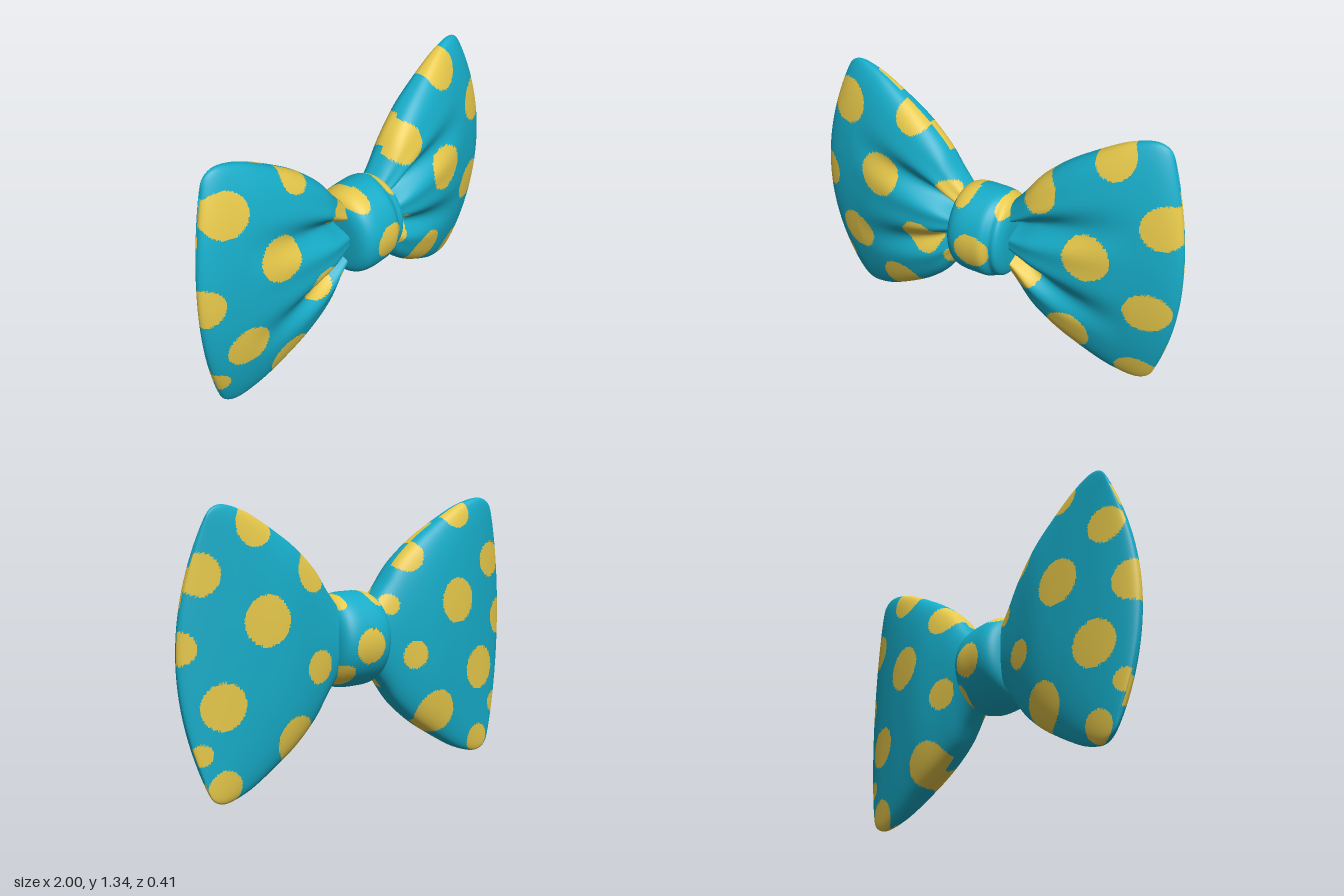
import * as THREE from 'three';
import { mergeVertices } from 'three/addons/utils/BufferGeometryUtils.js';

const fabric = new THREE.MeshStandardMaterial({ color: 0x16acc8 });
fabric.name = 'teal fabric';
const spot = new THREE.MeshStandardMaterial({ color: 0xe6c84a });
spot.name = 'yellow spot';

const MID = 0.67; // height of the bow's centre line

// Polka dots as [x, y, radius] for the front and back faces
const wingDots = {
  front: [
    [0.29, 1.0, 0.1], [0.635, 1.25, 0.1], [0.905, 0.97, 0.11], [0.57, 0.745, 0.115],
    [0.865, 0.5, 0.112], [0.47, 0.26, 0.115], [0.8, 0.075, 0.1], [0.22, 0.535, 0.095],
    [-0.83, 1.14, 0.11], [-0.43, 1.17, 0.088], [-0.6, 0.825, 0.11], [-0.355, 0.54, 0.1],
    [-0.79, 0.405, 0.11], [-0.525, 0.18, 0.115], [-1.0, 0.71, 0.105], [-0.94, 0.2, 0.07],
    [-0.2, 0.84, 0.065], [-0.17, 0.46, 0.06],
  ],
  back: [
    [0.31, 1.02, 0.095], [0.635, 1.25, 0.1], [0.91, 1.04, 0.095], [0.59, 0.82, 0.118],
    [0.81, 0.45, 0.108], [0.41, 0.245, 0.115], [0.8, 0.075, 0.085], [0.28, 0.575, 0.08],
    [1.0, 0.72, 0.075], [0.91, 0.24, 0.05],
    [-0.62, 1.27, 0.08], [-0.3, 1.07, 0.085], [-0.87, 1.02, 0.09], [-0.6, 0.825, 0.115],
    [-0.79, 0.455, 0.112], [-0.47, 0.26, 0.115], [-0.99, 0.71, 0.1], [-0.32, 0.57, 0.072],
    [-0.79, 0.075, 0.075], [-0.93, 0.25, 0.055], [-0.18, 0.83, 0.05],
  ],
};
const knotDots = {
  front: [[0.01, 0.65, 0.09], [-0.1, 0.89, 0.06], [0.135, 0.87, 0.05]],
  back: [[0.01, 0.65, 0.085], [-0.1, 0.88, 0.05], [0.135, 0.87, 0.045], [0.13, 0.51, 0.055]],
};

// Smooth lookup through values evenly spaced over 0..1
function profile(values) {
  const curve = new THREE.SplineCurve(values.map((v, i) => new THREE.Vector2(i, v)));
  return (t) => curve.getPoint(t).y;
}

// Surface of rings (i) closed around (j); triangles sorted into fabric and spots
function spottedSurface(name, point, rings, sides, dots, flip) {
  const positions = [];
  for (let i = 0; i <= rings; i++) {
    for (let j = 0; j < sides; j++) positions.push(...point(i / rings, (j / sides) * Math.PI * 2));
  }
  const plain = [], dotted = [];
  const tri = (list, a, b, c) => {
    const x = (positions[a * 3] + positions[b * 3] + positions[c * 3]) / 3;
    const y = (positions[a * 3 + 1] + positions[b * 3 + 1] + positions[c * 3 + 1]) / 3;
    const inDot = list.some(([dx, dy, r]) => Math.hypot(x - dx, y - dy) < r);
    (inDot ? dotted : plain).push(a, flip ? c : b, flip ? b : c);
  };
  for (let i = 0; i < rings; i++) {
    for (let j = 0; j < sides; j++) {
      const a = i * sides + j, b = i * sides + ((j + 1) % sides);
      const list = Math.cos(((j + 0.5) / sides) * Math.PI * 2) > 0 ? dots.front : dots.back;
      tri(list, a, a + sides, b + sides);
      tri(list, a, b + sides, b);
    }
  }
  let geometry = new THREE.BufferGeometry();
  geometry.setAttribute('position', new THREE.Float32BufferAttribute(positions, 3));
  geometry.setIndex([...plain, ...dotted]);
  geometry = mergeVertices(geometry, 1e-5);
  geometry.clearGroups();
  geometry.addGroup(0, plain.length, 0);
  geometry.addGroup(plain.length, dotted.length, 1);
  geometry.computeVertexNormals();
  const mesh = new THREE.Mesh(geometry, [fabric, spot]);
  mesh.name = name;
  return mesh;
}

// Wing outline and puffiness from the knot (0) to the outer edge (1)
const spread = profile([0.17, 0.25, 0.355, 0.43, 0.49, 0.54, 0.587, 0.63, 0.663, 0.69, 0.7]);
const frontPuff = profile([0.11, 0.145, 0.148, 0.13, 0.1, 0.085]);
const backPuff = profile([0.09, 0.12, 0.143, 0.13, 0.105, 0.08]);

function wingPoint(side) {
  return (s, angle) => {
    const u = 1 - Math.pow(1 - s, 1.8);
    const v = Math.sin(angle), c = Math.cos(angle);
    const x = 0.1 + (0.9 - 0.12 * v * v) * u;
    // the outline rounds over at the outer corners
    const height = spread(u) * (0.84 + 0.16 * Math.sqrt(Math.max(0, 1 - Math.pow(u, 10))));
    const taper = Math.sqrt(Math.max(0, 1 - Math.pow(u, 6)));
    const swell = Math.sign(c) * Math.pow(Math.abs(c), 0.75);
    let z = -0.03 - 0.02 * u * u - 0.06 * u * v * v;
    z += swell * taper * (c > 0 ? frontPuff(u) : backPuff(u));
    if (c > 0) {
      // two deep pleats fanning out of the knot, with a few fine gathers
      const fade = Math.pow(Math.max(0, 1 - u / 0.78), 1.1);
      const pleat = Math.exp(-Math.pow((Math.abs(v) - 0.35 - 0.12 * u) / 0.16, 2));
      z -= c * fade * (0.12 * pleat + 0.008 * Math.cos(v * 17));
    }
    return [side * x, MID + v * height, z];
  };
}

// Rounded band around the middle, with a fold line on its front
function knotPoint(s, angle) {
  const phi = s * Math.PI;
  const k = Math.cos(phi);
  const x = -0.157 * Math.sign(k) * Math.pow(Math.abs(k), 0.55);
  const front = Math.max(0, Math.cos(angle));
  const fold = 1 - 0.1 * front * Math.exp(-Math.pow((x - 0.095) / 0.025, 2));
  const r = Math.pow(Math.max(0, Math.sin(phi)), 0.4) * fold;
  return [x, MID - 0.005 + 0.235 * r * Math.sin(angle), 0.205 * r * Math.cos(angle)];
}

export function createModel() {
  const bow = new THREE.Group();
  bow.name = 'bowTie';
  bow.add(spottedSurface('leftWing', wingPoint(1), 120, 240, wingDots, false));
  bow.add(spottedSurface('rightWing', wingPoint(-1), 120, 240, wingDots, true));
  bow.add(spottedSurface('knot', knotPoint, 90, 120, knotDots, false));
  return bow;
}
